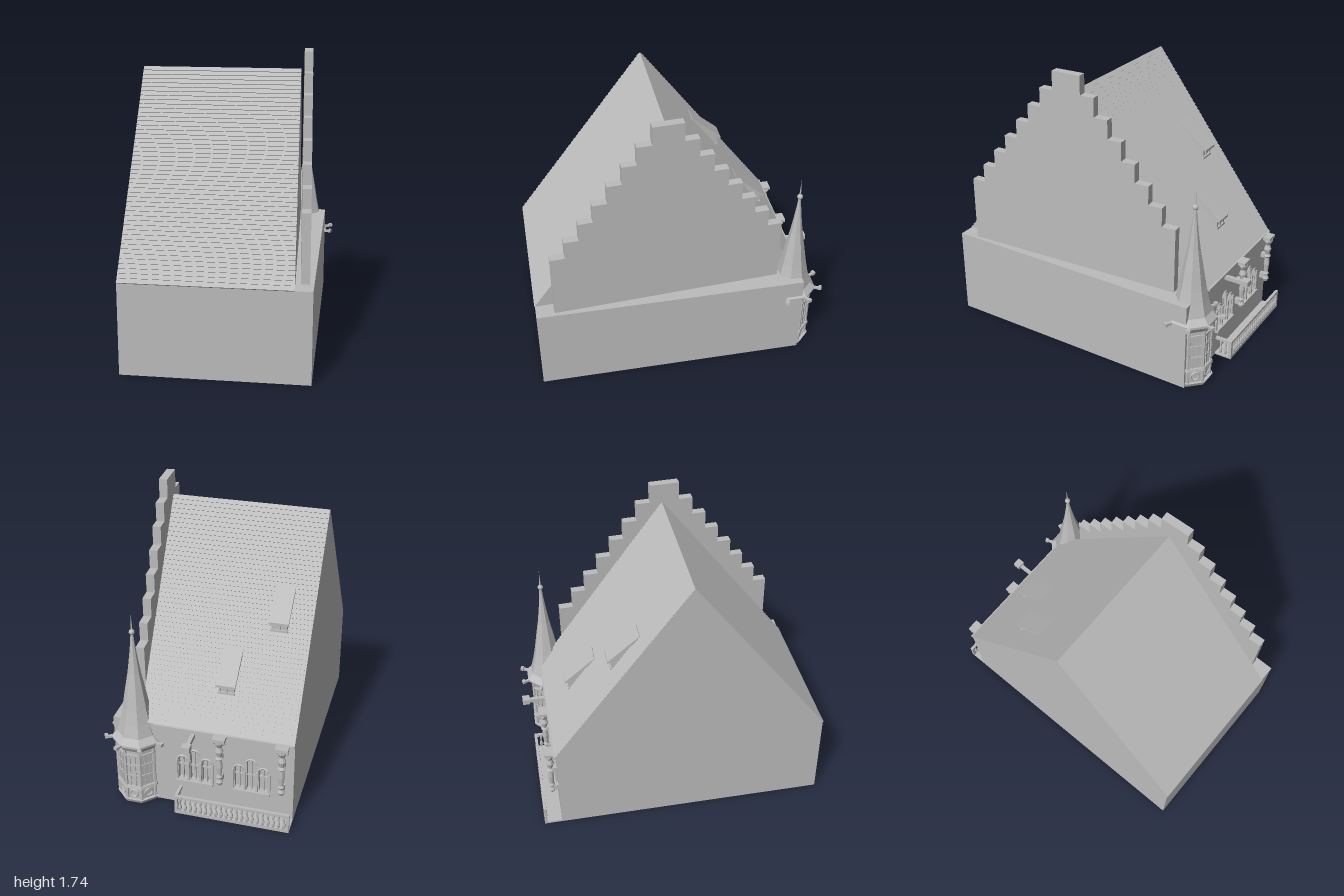
import * as THREE from 'three';

const stone = new THREE.MeshStandardMaterial({ color: 0xbcbcbc, flatShading: true });
stone.name = 'pale grey stone';

function add(parent, name, geo, x = 0, y = 0, z = 0) {
  const m = new THREE.Mesh(geo, stone);
  m.name = name;
  m.position.set(x, y, z);
  parent.add(m);
  return m;
}
// box centred on x, y, z
const box = (parent, name, w, h, d, x, y, z) => add(parent, name, new THREE.BoxGeometry(w, h, d), x, y, z);
const shapeOf = (pts) => new THREE.Shape(pts.map((p) => new THREE.Vector2(p[0], p[1])));
const lathe = (pts, n) => new THREE.LatheGeometry(pts.map((p) => new THREE.Vector2(p[0], p[1])), n);
// profile drawn as (-z, y), pushed along +x
const extrudeX = (shape, depth) => new THREE.ExtrudeGeometry(shape, { depth, bevelEnabled: false }).rotateY(Math.PI / 2);
function rectHole(x, y, w, h) {
  return new THREE.Path([[-1, -1], [-1, 1], [1, 1], [1, -1]].map(([a, b]) => new THREE.Vector2(x + a * w / 2, y + b * h / 2)));
}

const L = -0.555, R = 0.523, FRONT = 0.87, BACK = -0.757, EAVE = 0.545, RIDGE_Y = 1.63, RIDGE_Z = 0.055;

function makeRoof() {
  // overlapping tile courses on both slopes
  const rows = 48, lip = 0.006, pts = [];
  const slope = (z0) => {
    const out = [], dz = RIDGE_Z - z0, dy = RIDGE_Y - EAVE, len = Math.hypot(dz, dy);
    const nz = -Math.sign(dz) * dy / len * lip, ny = Math.abs(dz) / len * lip;
    for (let i = 0; i < rows; i++) {
      const a = i / rows, b = (i + 1) / rows;
      out.push([-(z0 + dz * a + nz), EAVE + dy * a + ny], [-(z0 + dz * b), EAVE + dy * b]);
    }
    return out;
  };
  pts.push([-FRONT, EAVE - 0.002], ...slope(FRONT), ...slope(BACK - 0.005).reverse().slice(1), [-BACK, EAVE - 0.002]);
  const geo = extrudeX(shapeOf(pts), 1);
  // the right end follows the slightly skewed gable
  const p = geo.attributes.position;
  for (let i = 0; i < p.count; i++) {
    const t = (p.getZ(i) - BACK) / (FRONT - BACK);
    p.setX(i, p.getX(i) < 0.5 ? L : 0.355 + 0.068 * t);
  }
  return geo;
}

function makeGable() {
  // crow-stepped gable with three recessed windows
  const g = new THREE.Group();
  g.name = 'steppedGable';
  const half = 0.689, stepW = 0.0856, y0 = 0.948, stepH = 0.1135, n = 7, T = 0.05;
  const left = [[-half, EAVE - 0.005]];
  for (let i = 0; i <= n; i++) {
    const x = half - i * stepW, y = y0 + i * stepH;
    left.push([-x, i ? y - stepH : y], [-x, y]);
  }
  left.splice(1, 1);
  const shape = shapeOf([...left, ...left.map(([x, y]) => [-x, y]).reverse()]);
  [[0.122, 1.335], [0.198, 1.067], [0.434, 0.777]].forEach(([x, y]) => {
    shape.holes.push(rectHole(x, y, 0.064, 0.124));
    box(g, 'gableWindowPane', 0.02, 0.13, 0.07, -T + 0.015, y, -x);
  });
  add(g, 'gableWall', extrudeX(shape, T), -T);
  return g;
}

function makeBackWall(g) {
  // two groups of three arched lights cut through the wall
  const shape = shapeOf([[L, 0], [R, 0], [R, EAVE], [L, EAVE]]);
  for (const cx of [0.035, -0.305]) {
    [-1, 0, 1].forEach((k) => {
      const x = cx + k * 0.072, w = 0.026, top = k ? 0.315 : 0.365;
      const h = new THREE.Path();
      h.moveTo(x - w, 0.18);
      h.lineTo(x - w, top);
      h.absarc(x, top, w, Math.PI, 0, true);
      h.lineTo(x + w, 0.18);
      shape.holes.push(h);
      box(g, 'windowMullion', 0.007, top - 0.16, 0.012, x, top / 2 + 0.1, BACK + 0.014);
      box(g, 'windowTransom', 0.052, 0.007, 0.012, x, 0.28, BACK + 0.014);
      const hood = new THREE.TorusGeometry(w + 0.005, 0.006, 4, 10, Math.PI);
      add(g, 'windowHood', hood, x, top, BACK);
    });
    box(g, 'windowSill', 0.225, 0.014, 0.025, cx, 0.172, BACK - 0.008);
    for (const k of [-1.5, -0.5, 0.5, 1.5]) box(g, 'windowJamb', 0.012, 0.14, 0.014, cx + k * 0.072, 0.245, BACK - 0.004);
  }
  add(g, 'backWall', new THREE.ExtrudeGeometry(shape, { depth: 0.03, bevelEnabled: false, curveSegments: 8 }), 0, 0, BACK);
}

function makeColumns(g) {
  // ornate pendant columns under the eaves
  const profile = [[0, 0.205], [0.014, 0.215], [0.022, 0.235], [0.012, 0.255], [0.02, 0.27], [0.013, 0.285],
    [0.018, 0.34], [0.015, 0.39], [0.024, 0.4], [0.014, 0.415], [0.024, 0.45], [0.014, 0.48], [0.03, 0.51], [0.03, 0.53], [0, 0.53]];
  for (const x of [-0.126, -0.49]) {
    add(g, 'pendantColumn', lathe(profile, 10), x, 0, -0.795);
    box(g, 'columnBracket', 0.03, 0.035, 0.05, x, 0.25, BACK - 0.018);
    box(g, 'columnBracket', 0.03, 0.03, 0.05, x, 0.4, BACK - 0.018);
    box(g, 'columnCapital', 0.075, 0.018, 0.07, x, 0.535, BACK - 0.03);
    for (const s of [-1, 1]) add(g, 'columnScroll', new THREE.SphereGeometry(0.013, 8, 6), x + s * 0.027, 0.515, -0.8);
  }
}

function makeBalcony(g) {
  const x0 = L, x1 = 0.131, z = -0.855, w = x1 - x0, cx = (x0 + x1) / 2;
  box(g, 'balconyFloor', w, 0.012, 0.11, cx, 0.006, -0.808);
  box(g, 'balconyTopRail', w, 0.016, 0.018, cx, 0.116, z);
  box(g, 'balconyBottomRail', w, 0.01, 0.016, cx, 0.016, z);
  box(g, 'balconySideRail', 0.018, 0.016, 0.1, x1 - 0.009, 0.116, -0.806);
  const baluster = lathe([[0.006, 0.018], [0.01, 0.03], [0.011, 0.045], [0.005, 0.07], [0.008, 0.09], [0.006, 0.11]], 6);
  for (let i = 1; i < 22; i++) add(g, 'baluster', baluster, x0 + w * i / 22, 0, z);
  for (let i = 1; i < 3; i++) add(g, 'sideBaluster', baluster, x1 - 0.009, 0, z + i * 0.032);
  for (const x of [x0 + 0.009, x1 - 0.009]) box(g, 'balconyPost', 0.018, 0.122, 0.018, x, 0.063, z);
}

function makeTower() {
  // eight-sided corner bay with a flared spire
  const g = new THREE.Group();
  g.name = 'cornerTower';
  const oct = (name, r0, r1, h, y) => { add(g, name, new THREE.CylinderGeometry(r1, r0, h, 8), 0, y, 0).rotation.y = Math.PI / 8; };
  oct('towerBody', 0.118, 0.118, 0.4, 0.21);
  oct('towerPlinth', 0.128, 0.138, 0.022, 0.016);
  oct('towerSillBand', 0.136, 0.132, 0.018, 0.117);
  oct('towerBand', 0.128, 0.128, 0.012, 0.345);
  oct('towerCornice', 0.124, 0.148, 0.04, 0.395);
  const spire = lathe([[0, 0.41], [0.152, 0.412], [0.152, 0.425], [0.117, 0.46], [0.096, 0.54], [0.079, 0.62], [0.06, 0.73],
    [0.038, 0.85], [0.024, 0.95], [0.013, 1.04], [0.007, 1.11], [0, 1.11]], 8);
  add(g, 'spire', spire).rotation.y = Math.PI / 8;
  add(g, 'finialBall', new THREE.SphereGeometry(0.017, 12, 8), 0, 1.11, 0);
  add(g, 'finialSpike', new THREE.ConeGeometry(0.006, 0.12, 8), 0, 1.17, 0);
  for (let i = 0; i < 8; i++) {
    const side = new THREE.Group();
    side.name = 'towerSide';
    side.rotation.y = i * Math.PI / 4;
    const a = 0.109;
    for (const x of [-0.016, 0.016]) box(side, 'towerMullion', 0.006, 0.22, 0.012, x, 0.235, a);
    for (const y of [0.2, 0.275]) box(side, 'towerTransom', 0.085, 0.007, 0.014, 0, y, a);
    add(side, 'towerPanelRing', new THREE.TorusGeometry(0.024, 0.005, 4, 14), 0, 0.067, a);
    g.add(side);
    const corner = new THREE.Group();
    corner.name = 'towerCorner';
    corner.rotation.y = (i + 0.5) * Math.PI / 4;
    add(corner, 'cornerPost', new THREE.CylinderGeometry(0.011, 0.011, 0.37, 6), 0, 0.205, 0.117);
    box(corner, 'waterSpout', 0.016, 0.014, 0.06, 0, 0.42, 0.155);
    box(corner, 'spoutHead', 0.025, 0.02, 0.018, 0, 0.424, 0.184);
    g.add(corner);
  }
  g.position.set(0.392, 0, -0.721);
  return g;
}

function makeDormer(x, zTop) {
  // shed dormer on the back slope
  const g = new THREE.Group();
  g.name = 'dormer';
  const slope = (RIDGE_Y - EAVE) / (RIDGE_Z - BACK), yTop = RIDGE_Y - (RIDGE_Z - zTop) * slope;
  const w = 0.09, d = 0.155;
  add(g, 'dormerBody', extrudeX(shapeOf([[0, 0], [d, -d * slope - 0.01], [d, -0.13]]), w), -w / 2);
  add(g, 'dormerRoof', extrudeX(shapeOf([[-0.01, 0], [0.185, -0.155], [0.185, -0.14], [0, 0.014]]), 0.115), -0.0575);
  for (const s of [-1, 0, 1]) box(g, 'dormerFrame', 0.01, 0.065, 0.012, s * 0.04, -0.168, -d - 0.003);
  box(g, 'dormerSill', 0.1, 0.012, 0.02, 0, -0.2, -d - 0.004);
  g.position.set(x, yTop, zTop);
  return g;
}

export function createModel() {
  const model = new THREE.Group();
  model.name = 'steppedGableHouse';
  // main house, turned on its plot
  const house = new THREE.Group();
  house.name = 'house';
  house.rotation.y = -0.3386;
  model.add(house);

  const inner = BACK + 0.03;
  box(house, 'lowerWalls', R - L, EAVE, FRONT - inner, (L + R) / 2, EAVE / 2, (FRONT + inner) / 2);
  add(house, 'tiledRoof', makeRoof());
  makeBackWall(house);
  box(house, 'eaveMoulding', 0.83, 0.016, 0.02, -0.14, EAVE - 0.008, BACK - 0.008);
  makeColumns(house);
  makeBalcony(house);
  house.add(makeTower(), makeDormer(-0.37, -0.23), makeDormer(-0.123, -0.465));

  // long rain spout beside the tower
  box(house, 'rainSpout', 0.022, 0.025, 0.15, 0.04, 0.5, -0.83);
  box(house, 'rainSpoutMouth', 0.05, 0.035, 0.045, 0.04, 0.505, -0.89);

  // the gable stands slightly askew to the walls
  const gable = makeGable();
  gable.position.set(0.408, 0, 0.22);
  gable.rotation.y = -0.279;
  model.add(gable);
  return model;
}
